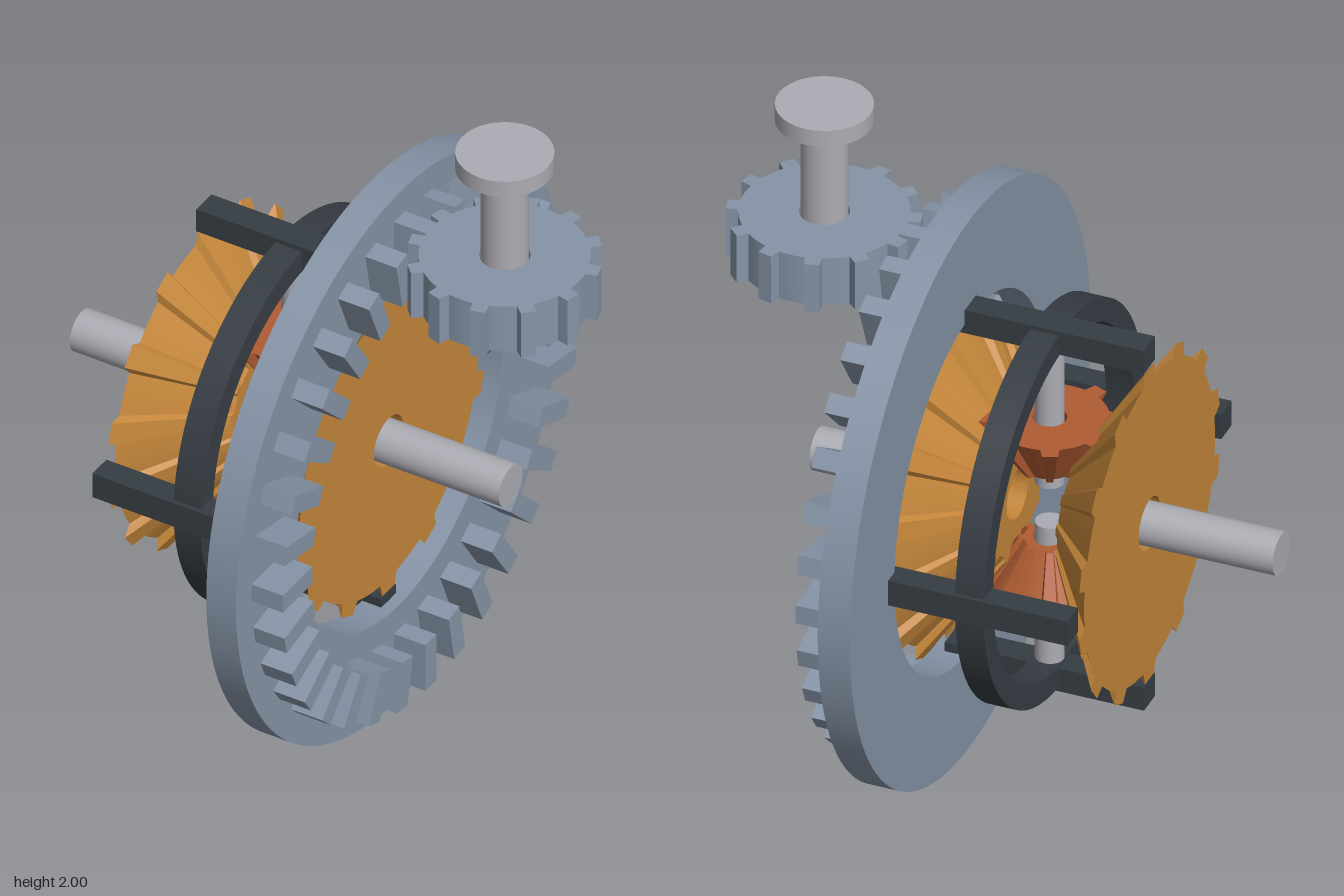
import * as THREE from 'three';
import { toCreasedNormals } from 'three/addons/utils/BufferGeometryUtils.js';

const mat = (name, color) => {
  const m = new THREE.MeshStandardMaterial({ color });
  m.name = name;
  return m;
};

// Axis height and the centre of the differential
const AXIS = 0.865, CX = -0.125;

// Toothed outline with a round bore; the first tooth sits at angle `start`
function gearShape(teeth, tip, root, tipHalf, rootHalf, start, bore) {
  const s = new THREE.Shape(), step = (Math.PI * 2) / teeth, pts = [];
  const add = (r, a) => pts.push(new THREE.Vector2(r * Math.cos(a), r * Math.sin(a)));
  for (let i = 0; i < teeth; i++) {
    const a = start + i * step;
    add(root, a - rootHalf);
    add(tip, a - tipHalf);
    add(tip, a + tipHalf);
    add(root, a + rootHalf);
    const gap = step - 2 * rootHalf;
    for (let k = 1; k < 4; k++) add(root, a + rootHalf + (gap * k) / 4);
  }
  s.setFromPoints(pts);
  s.holes.push(new THREE.Path().absarc(0, 0, bore, 0, Math.PI * 2, true));
  return s;
}

// Extrude along z; the far end shrinks by `taper`, the bore stays straight
function gearGeometry(shape, depth, bore, taper = 1) {
  const g = new THREE.ExtrudeGeometry(shape, { depth, bevelEnabled: false, curveSegments: 24 });
  const p = g.attributes.position;
  for (let i = 0; i < p.count; i++) {
    const x = p.getX(i), y = p.getY(i);
    if (p.getZ(i) > depth / 2 && Math.hypot(x, y) > bore + 0.005) p.setXY(i, x * taper, y * taper);
  }
  return toCreasedNormals(g, 0.35);
}

// Flat ring of rectangular section, extruded along x
function ringGeometry(outer, inner, width) {
  const s = new THREE.Shape().absarc(0, 0, outer, 0, Math.PI * 2, false);
  s.holes.push(new THREE.Path().absarc(0, 0, inner, 0, Math.PI * 2, true));
  const g = new THREE.ExtrudeGeometry(s, { depth: width, bevelEnabled: false, curveSegments: 64 });
  return toCreasedNormals(g.rotateY(Math.PI / 2), 0.5);
}

export function createModel() {
  const steel = mat('blueSteel', 0x8694a7);
  const silver = mat('silver', 0xacacb4);
  const dark = mat('darkIron', 0x363d43);
  const gold = mat('bronze', 0xc4863a);
  const rust = mat('copper', 0xb05c33);

  const model = new THREE.Group();
  model.name = 'differentialGear';
  const add = (parent, name, geo, material, x = 0, y = 0, z = 0) => {
    const m = new THREE.Mesh(geo, material);
    m.name = name;
    m.position.set(x, y, z);
    parent.add(m);
    return m;
  };
  const rod = (r, len) => new THREE.CylinderGeometry(r, r, len, 32);

  // Everything on the main axis
  const core = new THREE.Group();
  core.name = 'mainAssembly';
  core.position.y = AXIS;
  model.add(core);

  // Crown wheel with face teeth
  const crown = new THREE.Group();
  crown.name = 'crownWheel';
  core.add(crown);
  add(crown, 'crownRing', ringGeometry(0.865, 0.545, 0.095), steel, 0.11);
  const toothGeo = new THREE.BoxGeometry(0.11, 0.156, 0.058);
  for (let i = 0; i < 32; i++) {
    const a = (i / 32) * Math.PI * 2;
    const t = add(crown, 'crownTooth', toothGeo, steel, 0.25, 0.705 * Math.cos(a), 0.705 * Math.sin(a));
    t.rotation.x = a;
  }

  // Carrier cage: hoop and four arms
  const cage = new THREE.Group();
  cage.name = 'carrierCage';
  core.add(cage);
  add(cage, 'carrierHoop', ringGeometry(0.578, 0.51, 0.085), dark, CX - 0.0425);
  const armGeo = new THREE.BoxGeometry(0.59, 0.075, 0.08);
  for (let i = 0; i < 4; i++) {
    const a = (i * Math.PI) / 2;
    const arm = add(cage, 'carrierArm', armGeo, dark, CX, 0.5525 * Math.cos(a), 0.5525 * Math.sin(a));
    arm.rotation.x = a;
  }

  // Side bevel gears with their axles
  const sideGeo = gearGeometry(gearShape(14, 0.51, 0.47, 0.065, 0.092, Math.PI / 2, 0.078), 0.2, 0.078, 0.38);
  for (const s of [-1, 1]) {
    const gear = add(core, 'sideGear', sideGeo, gold, CX + s * 0.295);
    gear.rotation.y = (-s * Math.PI) / 2;
    const from = CX + s * 0.2, to = s < 0 ? -0.81 : 0.56;
    const axle = add(core, 'axle', rod(0.063, Math.abs(to - from)), silver, (from + to) / 2);
    axle.rotation.z = Math.PI / 2;
  }

  // Spider gears on short pins, above and below
  const spiderGeo = gearGeometry(gearShape(8, 0.2, 0.165, 0.11, 0.16, Math.PI / 8, 0.048), 0.158, 0.048, 0.43);
  for (const s of [-1, 1]) {
    const gear = add(core, 'spiderGear', spiderGeo, rust, CX, s * 0.275);
    gear.rotation.x = (s * Math.PI) / 2;
    add(core, 'spiderPin', rod(0.041, 0.455), silver, CX, s * 0.2925);
  }

  // Drive pinion with its shaft and cap
  const drive = new THREE.Group();
  drive.name = 'drivePinion';
  drive.position.x = 0.541;
  model.add(drive);
  const pinionGeo = gearGeometry(gearShape(12, 0.27, 0.236, 0.08, 0.1, Math.PI / 12, 0.07), 0.153, 0.07);
  add(drive, 'pinionGear', pinionGeo, steel, 0, 1.495).rotation.x = -Math.PI / 2;
  add(drive, 'pinionShaft', rod(0.066, 0.37), silver, 0, 1.775);
  add(drive, 'shaftCap', rod(0.136, 0.052), silver, 0, 1.974);

  return model;
}
